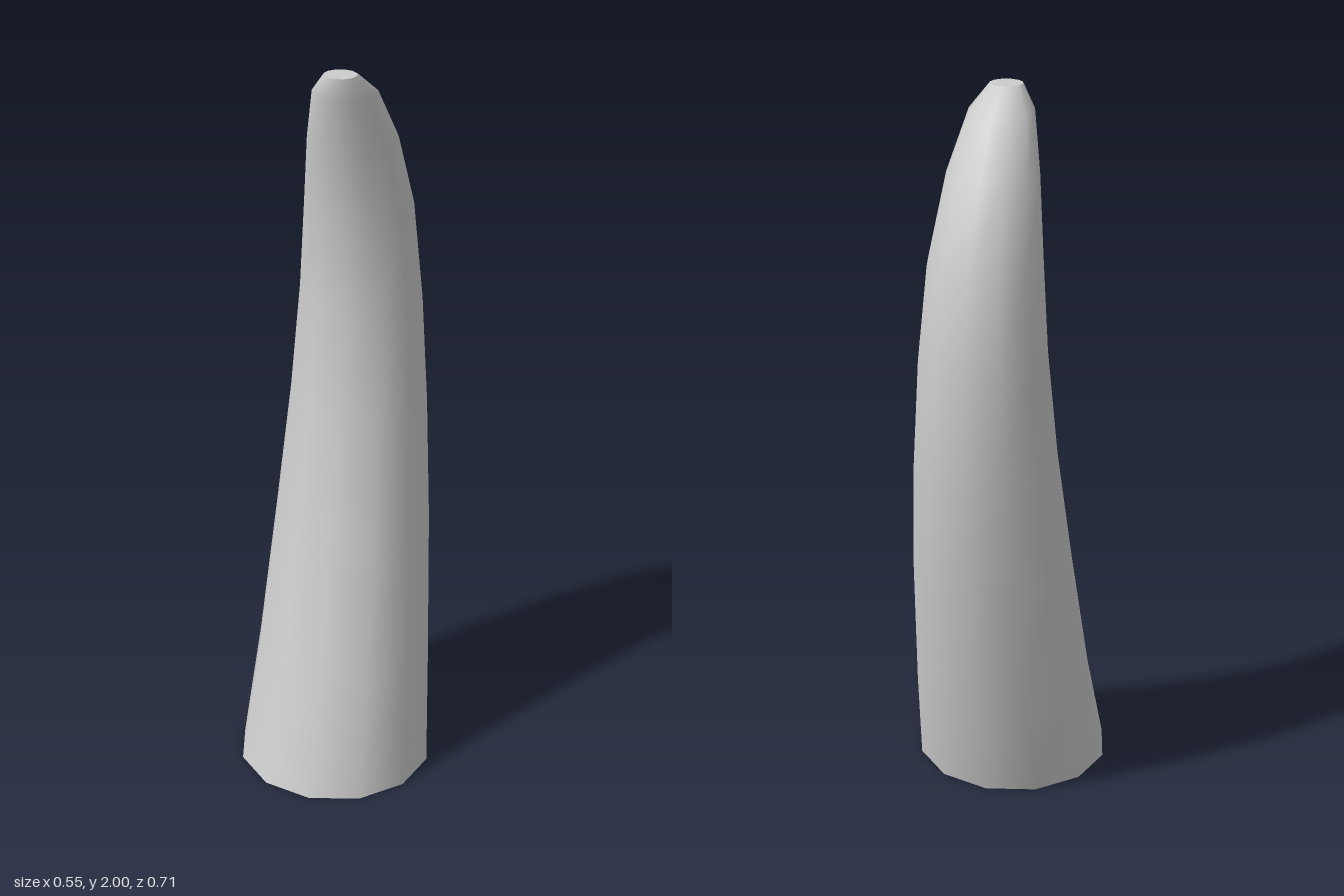
import * as THREE from 'three';

const SIDES = 12;

// Level cross-sections from base to tip: [height, half width, front z, back z]
const RINGS = [
  [0, 0.275, 0.355, -0.18],
  [0.3, 0.251, 0.235, -0.251],
  [0.7, 0.223, 0.11, -0.32],
  [1.03, 0.197, 0.026, -0.354],
  [1.33, 0.174, -0.018, -0.35],
  [1.58, 0.154, -0.015, -0.31],
  [1.79, 0.125, 0.02, -0.215],
  [1.94, 0.088, 0.063, -0.104],
  [2, 0.044, 0.063, -0.021],
];

// One corner of a ring, counted from the front towards +x
function corner([y, halfWidth, front, back], i) {
  const a = (i / SIDES) * Math.PI * 2;
  return [
    Math.sin(a) * halfWidth,
    y,
    (front + back) / 2 + (Math.cos(a) * (front - back)) / 2,
  ];
}

function buildGeometry(positions, index) {
  const geometry = new THREE.BufferGeometry();
  geometry.setAttribute('position', new THREE.Float32BufferAttribute(positions, 3));
  geometry.setIndex(index);
  geometry.computeVertexNormals();
  return geometry;
}

// Smooth curved wall, closed around its sides
function wallGeometry() {
  const positions = [];
  const index = [];
  RINGS.forEach((ring, r) => {
    for (let i = 0; i < SIDES; i++) {
      positions.push(...corner(ring, i));
      if (r === RINGS.length - 1) continue;
      const a = r * SIDES + i;
      const b = r * SIDES + ((i + 1) % SIDES);
      index.push(a, b, b + SIDES, a, b + SIDES, a + SIDES);
    }
  });
  return buildGeometry(positions, index);
}

// Flat end cap with its own normals, so the rim stays sharp
function capGeometry(ring, facesUp) {
  const positions = [];
  const index = [];
  for (let i = 0; i < SIDES; i++) {
    positions.push(...corner(ring, i));
    if (i < 2) continue;
    index.push(0, ...(facesUp ? [i - 1, i] : [i, i - 1]));
  }
  return buildGeometry(positions, index);
}

export function createModel() {
  const group = new THREE.Group();
  group.name = 'horn';
  const material = new THREE.MeshStandardMaterial({ color: 0xcccccc });
  const add = (name, geometry) => {
    const mesh = new THREE.Mesh(geometry, material);
    mesh.name = name;
    group.add(mesh);
  };

  add('hornWall', wallGeometry());
  add('baseCap', capGeometry(RINGS[0], false));
  add('tipCap', capGeometry(RINGS[RINGS.length - 1], true));
  return group;
}
